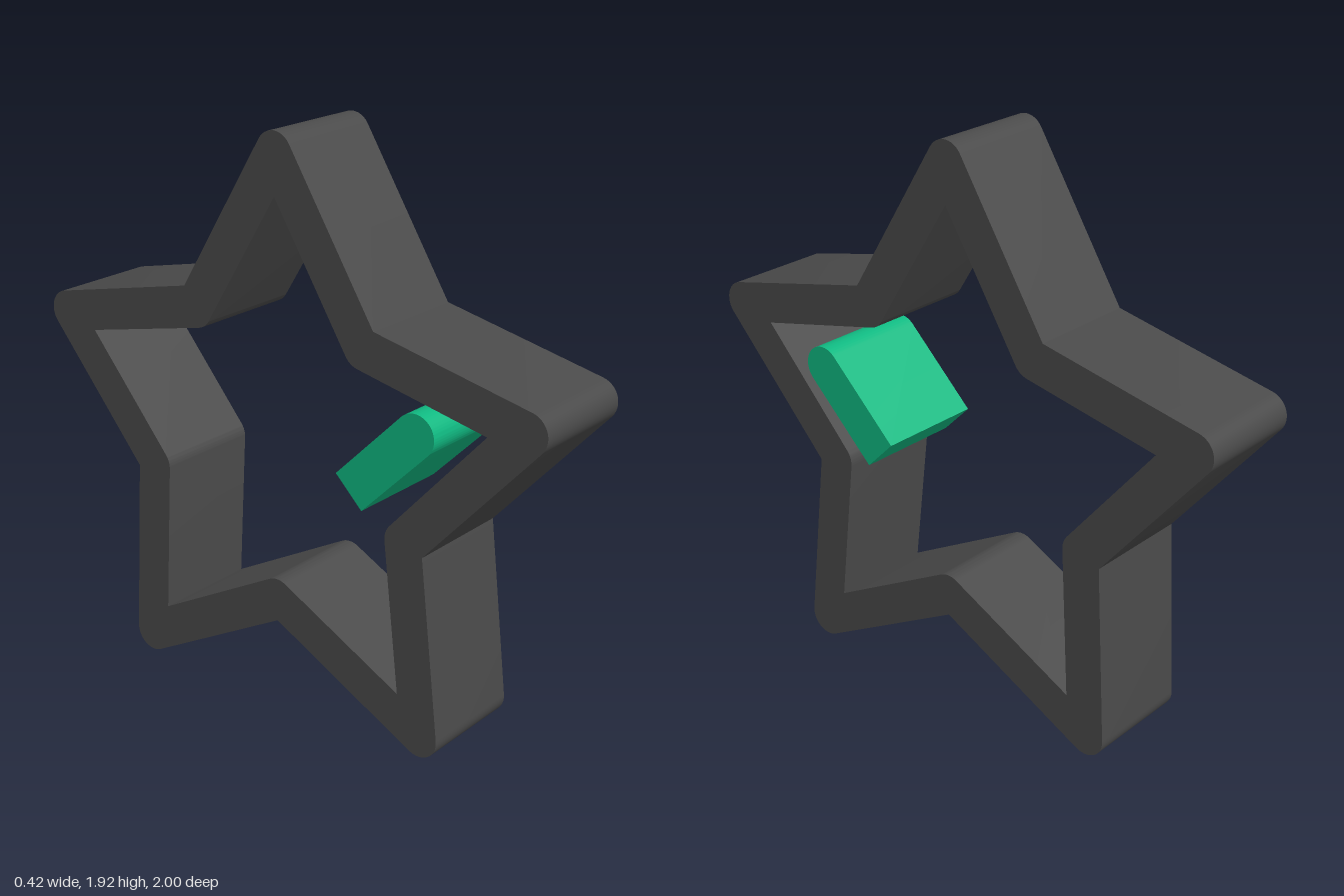
import * as THREE from 'three';
import { toCreasedNormals } from 'three/addons/utils/BufferGeometryUtils.js';

const R = 0.07; // half the width of the star's wall
const DEPTH = 0.385;

// Star centreline as (-z, y), counter-clockwise from the top tip
const CENTRELINE = [
  [0, 1.855], [-0.337, 1.31], [-0.93, 1.18], [-0.503, 0.715], [-0.575, 0.07],
  [0, 0.375], [0.575, 0.07], [0.54, 0.715], [0.93, 1.18], [0.337, 1.31],
].map(([u, y]) => new THREE.Vector2(u, y));

// Parallel outline at signed distance d: outer bends get an arc, inner bends a sharp corner
function offsetOutline(points, d, steps = 12) {
  const out = [];
  const n = points.length;
  points.forEach((p, i) => {
    const a = p.clone().sub(points[(i + n - 1) % n]).normalize();
    const b = points[(i + 1) % n].clone().sub(p).normalize();
    const turn = Math.atan2(a.cross(b), a.dot(b));
    const start = Math.atan2(-a.x, a.y); // direction of the right-hand normal
    const place = (angle, r) =>
      out.push(new THREE.Vector2(p.x + Math.cos(angle) * r, p.y + Math.sin(angle) * r));
    if (turn * d > 0) {
      for (let k = 0; k <= steps; k++) place(start + (turn * k) / steps, d);
    } else {
      place(start + turn / 2, d / Math.cos(turn / 2));
    }
  });
  return out;
}

// Extrude a (-z, y) shape along x, starting at x0
function extrudeAlongX(name, shape, x0, color) {
  const raw = new THREE.ExtrudeGeometry(shape, { depth: DEPTH, bevelEnabled: false, curveSegments: 24 });
  const geometry = toCreasedNormals(raw, 0.5);
  geometry.rotateY(Math.PI / 2);
  geometry.translate(x0, 0, 0);
  const mesh = new THREE.Mesh(geometry, new THREE.MeshStandardMaterial({ color }));
  mesh.name = name;
  return mesh;
}

export function createModel() {
  const group = new THREE.Group();
  group.name = 'starFrame';

  // Hollow star with rounded tips
  const star = new THREE.Shape(offsetOutline(CENTRELINE, R));
  star.holes.push(new THREE.Path(offsetOutline(CENTRELINE, -R)));
  group.add(extrudeAlongX('starOutline', star, -0.21, 0x4a4a4a));

  // Slanted bar: rounded at the upper end, square at the lower end
  const r = 0.072;
  const top = new THREE.Vector2(-0.514, 1.061);
  const end = new THREE.Vector2(-0.265, 0.814);
  const s = r * Math.SQRT1_2;
  const bar = new THREE.Shape();
  bar.moveTo(end.x - s, end.y - s);
  bar.lineTo(end.x + s, end.y + s);
  bar.lineTo(top.x + s, top.y + s);
  bar.absarc(top.x, top.y, r, Math.PI / 4, Math.PI * 1.25, false);
  bar.closePath();
  group.add(extrudeAlongX('slantedBar', bar, -0.175, 0x10b981));

  return group;
}
